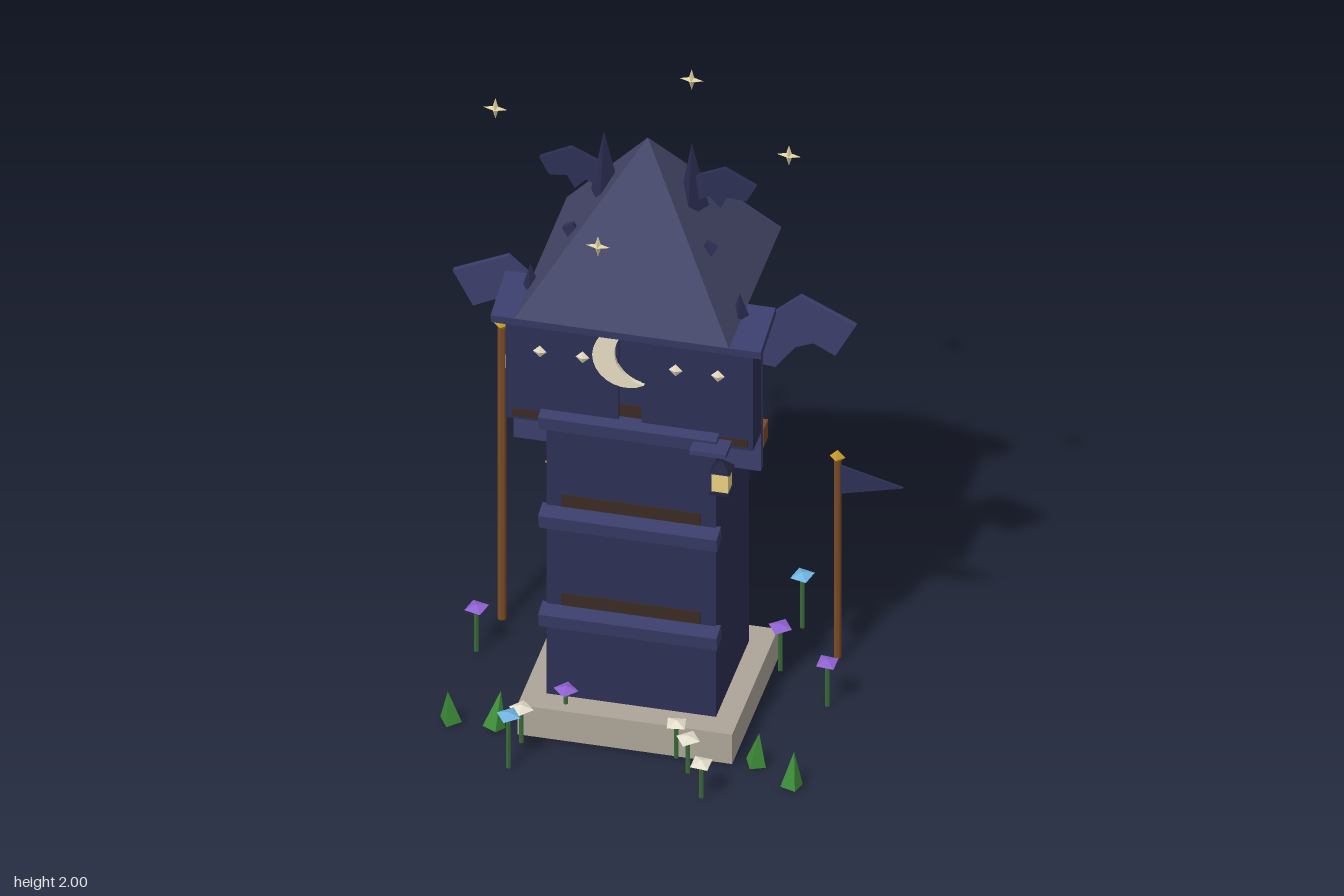
import * as THREE from 'three';

const CX = -0.04, CZ = 0.075; // tower axis
const mats = {};
const mat = (c) => (mats[c] ??= new THREE.MeshStandardMaterial({ color: c, flatShading: true, side: THREE.DoubleSide }));
const NAVY = 0x2d2f54, BLUE = 0x3b3e6b, ROOF = 0x45476a, DARK = 0x222440, BROWN = 0x3a2a22, WOOD = 0x7a4a26,
  STONE = 0xada598, CREAM = 0xe6dcc0, GOLD = 0xc79a2c, STEM = 0x3a6b3a, GRASS = 0x3f8f3a;

export function createModel() {
  const root = new THREE.Group();
  const add = (name, geo, color, x = 0, y = 0, z = 0) => {
    const m = new THREE.Mesh(geo, mat(color));
    m.name = name;
    m.position.set(x, y, z);
    root.add(m);
    return m;
  };
  // box given by its extents
  const box = (name, color, x0, x1, y0, y1, z0, z1) =>
    add(name, new THREE.BoxGeometry(x1 - x0, y1 - y0, z1 - z0), color, (x0 + x1) / 2, (y0 + y1) / 2, (z0 + z1) / 2);
  // flat plate from an outline, centred on z
  const plate = (name, color, pts, z, t) => {
    const s = new THREE.Shape(pts.map((p) => new THREE.Vector2(...p)));
    const g = new THREE.ExtrudeGeometry(s, { depth: t, bevelEnabled: false });
    return add(name, g, color, 0, 0, z - t / 2);
  };

  // Plinth, shaft and pyramid roof
  box('plinth', STONE, CX - 0.31, CX + 0.31, 0.01, 0.11, CZ - 0.27, CZ + 0.27);
  box('towerShaft', NAVY, CX - 0.245, CX + 0.245, 0.11, 1.45, CZ - 0.195, CZ + 0.195);
  const roof = new THREE.ConeGeometry(0.31 * Math.SQRT2, 0.46, 4).rotateY(Math.PI / 4);
  add('roof', roof, ROOF, CX, 1.68, CZ);

  // Tilted ledges with dark slots above
  for (const y of [0.39, 0.725, 1.06]) {
    add('ledge', new THREE.BoxGeometry(0.515, 0.047, 0.055), BLUE, CX, y, 0.285).rotation.x = 0.22;
    box('slot', BROWN, CX - 0.2, CX + 0.2, y + 0.03, y + 0.07, 0.26, 0.274);
  }

  // Front shutters, backing plate, awning
  box('shutter', NAVY, -0.40, -0.073, 1.04, 1.41, 0.19, 0.283);
  box('shutter', NAVY, -0.007, 0.315, 1.04, 1.41, 0.19, 0.283);
  box('shutterFoot', BROWN, -0.38, 0.3, 1.05, 1.075, 0.27, 0.286);
  box('backingPlate', BLUE, -0.40, 0.315, 0.91, 1.42, 0.165, 0.19);
  add('awning', new THREE.BoxGeometry(0.78, 0.027, 0.18), BLUE, CX, 1.42, 0.245).rotation.x = 0.2;

  // Crescent moon and small diamonds on the shutters
  const moon = [], N = 16, R = 0.097, off = 0.066, half = Math.acos(off / 2 / R);
  for (let i = 0; i <= N; i++) {
    const a = half + (i / N) * (2 * Math.PI - 2 * half);
    moon.push([R * Math.cos(a), R * Math.sin(a)]);
  }
  for (let i = 1; i < N; i++) {
    const a = Math.PI + half - (i / N) * 2 * half;
    moon.push([off + R * Math.cos(a), R * Math.sin(a)]);
  }
  const crescent = plate('crescentMoon', CREAM, moon, 0.287, 0.014);
  crescent.position.set(-0.05, 1.3, 0.28);
  crescent.rotation.z = 0.23;
  for (const x of [-0.3, -0.177, 0.092, 0.214])
    add('diamond', new THREE.OctahedronGeometry(0.02), CREAM, x, 1.28, 0.285).scale.z = 0.5;

  // Mirrored parts: wings, roof spikes, side blocks
  const wing = [[0.2, 1.19], [0.422, 1.388], [0.582, 1.313], [0.523, 1.203], [0.46, 1.235], [0.408, 1.214], [0.35, 1.137], [0.2, 1.15]];
  const smallWing = [[0.12, 1.79], [0.15, 1.807], [0.222, 1.84], [0.313, 1.793], [0.285, 1.74], [0.232, 1.745], [0.21, 1.705], [0.178, 1.74], [0.12, 1.71]];
  for (const s of [-1, 1]) {
    const mirror = (pts) => pts.map(([x, y]) => [CX + s * x, y]);
    plate('sideWing', BLUE, mirror(wing), -0.008, 0.016);
    plate('roofWing', NAVY, mirror(smallWing), 0.07, 0.014);
    add('tallSpike', new THREE.ConeGeometry(0.05, 0.22, 3), NAVY, CX + s * 0.127, 1.8, 0.073);
    add('eaveSpike', new THREE.ConeGeometry(0.028, 0.08, 3), NAVY, CX + s * 0.302, 1.49, 0.225);
    add('roofPeg', new THREE.BoxGeometry(0.035, 0.035, 0.016), NAVY, CX + s * 0.2, 1.625, 0.165).rotation.z = -s * 0.5;
    const a = CX + s * 0.24, b = CX + s * 0.355;
    box('sideBlock', WOOD, Math.min(a, b), Math.max(a, b), 0.97, 1.03, 0.105, 0.16);
  }

  // Hanging lantern
  box('lanternBracket', BLUE, 0.15, 0.255, 1.053, 1.068, 0.27, 0.36);
  add('lanternHook', new THREE.CylinderGeometry(0.005, 0.005, 0.05, 6), DARK, 0.24, 1.04, 0.345);
  add('lanternCap', new THREE.ConeGeometry(0.043, 0.035, 4).rotateY(Math.PI / 4), DARK, 0.24, 1.025, 0.345);
  box('lanternGlass', 0xe8d080, 0.216, 0.264, 0.945, 1.008, 0.321, 0.369);
  box('lanternFoot', DARK, 0.212, 0.268, 0.935, 0.945, 0.317, 0.373);

  // Flagpoles with gold finials
  const pole = (x, z, top, r) => {
    add('flagpole', new THREE.CylinderGeometry(r, r, top - 0.02, 8), WOOD, x, top / 2, z);
    add('finial', new THREE.OctahedronGeometry(0.023), GOLD, x, top, z);
  };
  pole(-0.53, -0.205, 1.01, 0.013);
  pole(-0.365, -0.13, 0.615, 0.009);
  pole(0.43, -0.243, 0.69, 0.011);
  box('banner', NAVY, -0.52, -0.25, 0.8, 0.97, -0.209, -0.201);
  box('bannerStripe', CREAM, -0.52, -0.249, 0.865, 0.91, -0.211, -0.199);
  plate('pennant', NAVY, [[-0.36, 0.485], [-0.19, 0.535], [-0.36, 0.585]], -0.13, 0.008);
  plate('pennant', NAVY, [[0.435, 0.567], [0.62, 0.615], [0.435, 0.663]], -0.243, 0.008);

  // Four-pointed floating stars: star outline with front and back apex
  const starGeo = new THREE.BufferGeometry(), pos = [];
  const rim = (i) => {
    const r = i % 2 ? 0.011 : 0.035, a = (i * Math.PI) / 4;
    return [r * Math.cos(a), r * Math.sin(a), 0];
  };
  for (let i = 0; i < 8; i++)
    pos.push(...rim(i), ...rim(i + 1), 0, 0, 0.013, ...rim(i + 1), ...rim(i), 0, 0, -0.013);
  starGeo.setAttribute('position', new THREE.Float32BufferAttribute(pos, 3));
  starGeo.computeVertexNormals();
  for (const [x, y, z] of [[-0.47, 1.965, 0.115], [0.385, 1.965, 0.145], [-0.078, 1.82, 0.505], [-0.02, 1.82, -0.36]])
    add('star', starGeo, 0xddd0a0, x, y, z);

  // Flowers around the plinth
  const flowers = (color, h, spots) => spots.forEach(([x, z], i) => {
    add('flowerStem', new THREE.CylinderGeometry(0.007, 0.007, h - 0.01, 5), STEM, x, h / 2 + 0.005, z);
    const head = add('flowerHead', new THREE.OctahedronGeometry(0.036), color, x, h, z);
    head.scale.y = 0.35;
    head.rotation.set(0.08, 0.5 + i * 0.9, 0.05);
  });
  flowers(0xe4decb, 0.125, [[-0.31, -0.4], [0.16, 0.415], [0.225, 0.525], [-0.33, 0.38], [0.11, 0.35]]);
  flowers(0x6fb4e0, 0.187, [[0.3, -0.36], [-0.335, 0.51]]);
  flowers(0x8f62d0, 0.157, [[-0.56, -0.03], [0.29, -0.14], [0.46, 0], [-0.22, 0.305]]);

  // Leaning grass tufts
  [[-0.146, -0.535], [-0.015, -0.395], [-0.55, 0.33], [0.46, 0.405], [0.34, 0.33], [-0.415, 0.315]].forEach(([x, z], i) => {
    const tuft = add('grassTuft', new THREE.ConeGeometry(0.033, 0.115, 4), GRASS, x, 0.066, z);
    tuft.rotation.set(i % 2 ? -0.12 : 0.1, i * 0.7, x < 0 ? 0.14 : 0.12);
  });

  return root;
}
